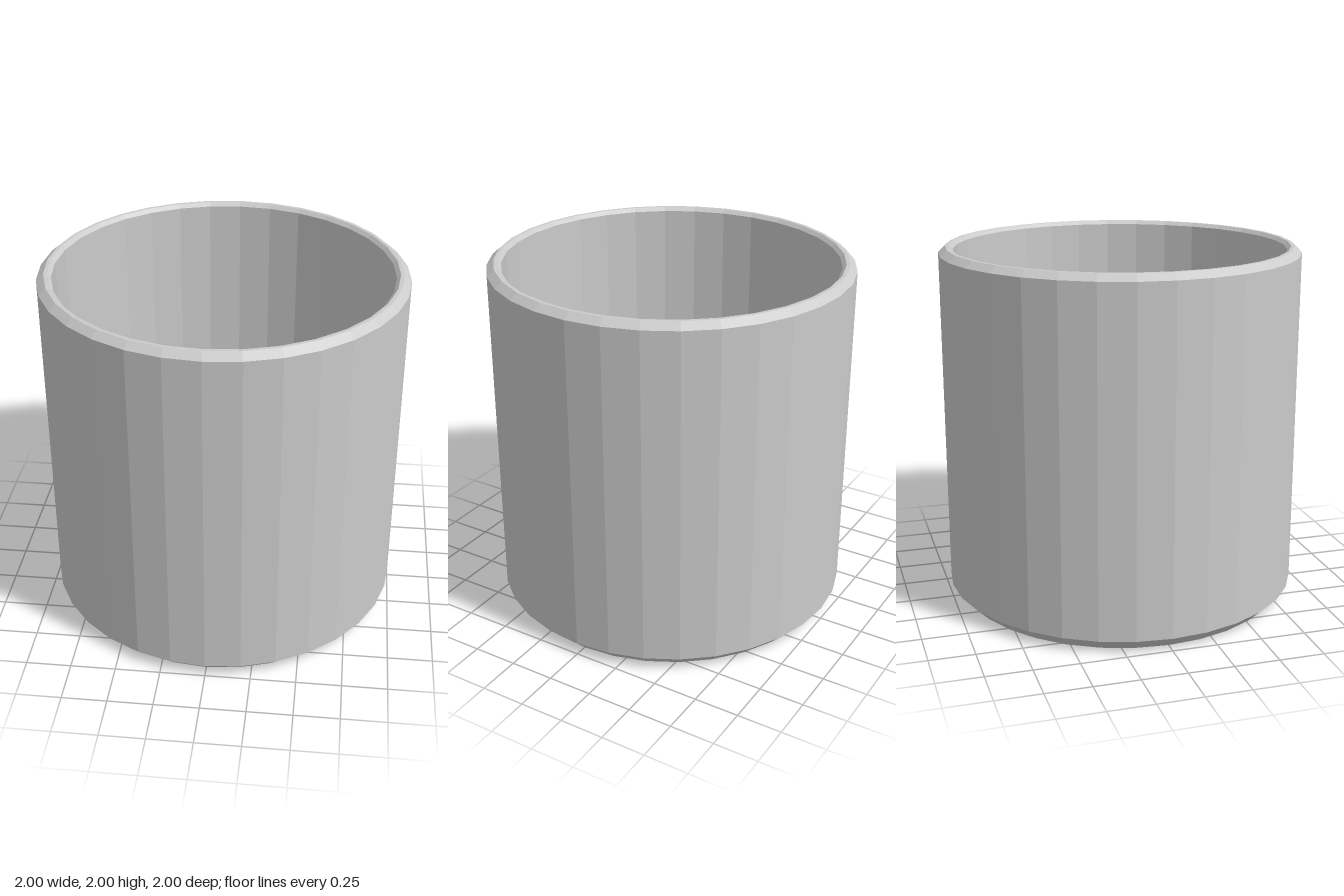
import * as THREE from 'three';

const SIDES = 32;

export function createModel() {
  const group = new THREE.Group();
  group.name = 'cup';

  const material = new THREE.MeshStandardMaterial({ color: 0xcccccc, flatShading: true });

  // Closed cross-section: underside, outer wall, rim, inner wall, floor
  const profile = [
    [0, 0], [0.93, 0],          // underside
    [1, 0.07], [1, 1.965],      // foot bevel and outer wall
    [0.96, 2], [0.94, 2],       // outer rim bevel and flat lip
    [0.92, 1.98], [0.92, 0.15], // inner rim bevel and inner wall
    [0.855, 0.08], [0, 0.08],   // floor bevel and floor
  ].map(([r, y]) => new THREE.Vector2(r, y));

  const body = new THREE.Mesh(new THREE.LatheGeometry(profile, SIDES), material);
  body.name = 'cupBody';
  group.add(body);

  return group;
}
